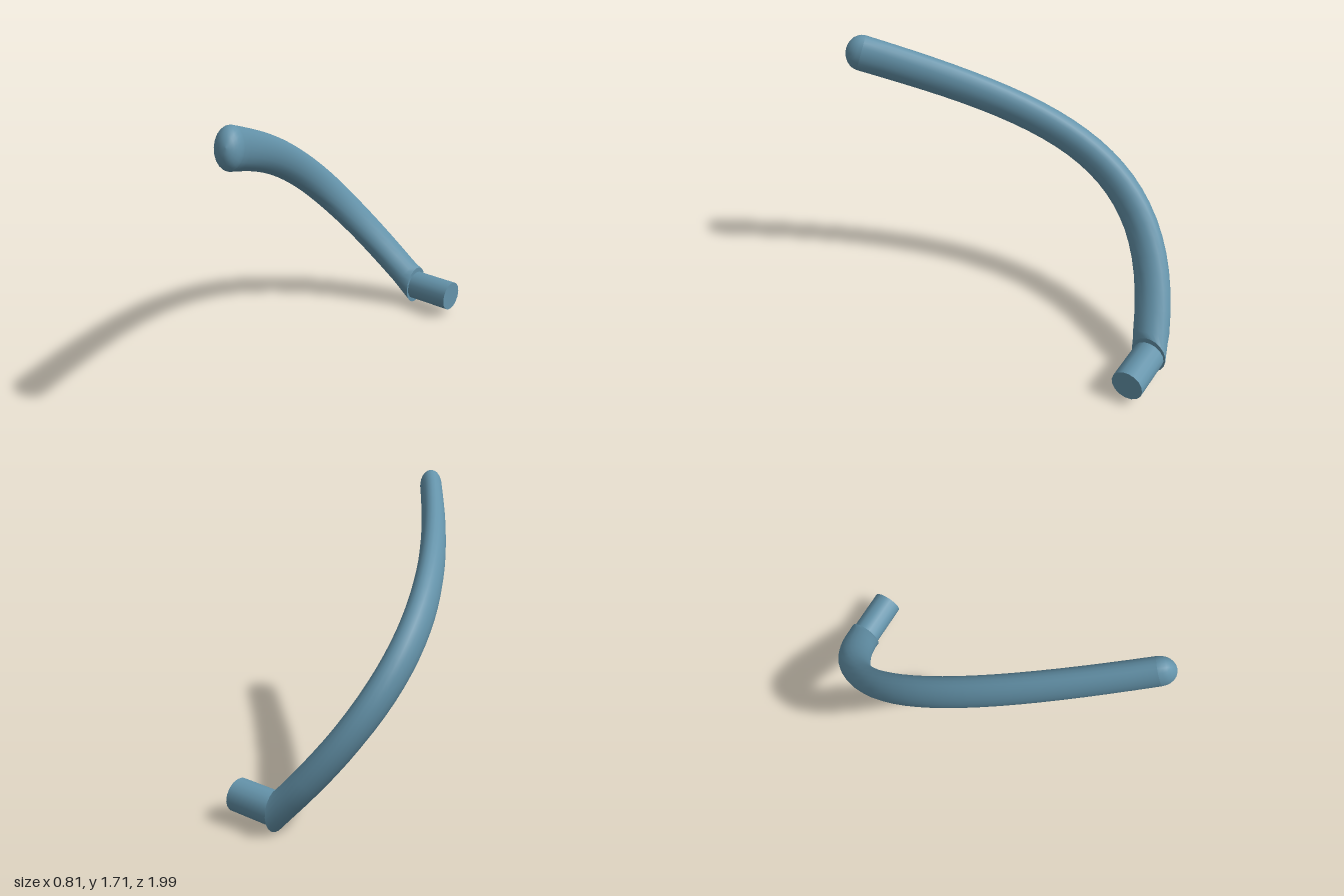
import * as THREE from 'three';

const SIDES = 20, STEPS = 26, DOME_STEPS = 6;
const MAJOR = 0.105; // half height of the oval section

export function createModel() {
  const group = new THREE.Group();
  group.name = 'curvedBar';
  const blueGrey = new THREE.MeshStandardMaterial({ color: 0x6493aa });
  blueGrey.name = 'blueGrey';

  const add = (name, geometry) => {
    const mesh = new THREE.Mesh(geometry, blueGrey);
    mesh.name = name;
    group.add(mesh);
  };
  const v = (x, y, z) => new THREE.Vector3(x, y, z);

  const base = v(0.12, 0.133, -0.892), tip = v(0.264, 1.615, 0.915);
  const curve = new THREE.CubicBezierCurve3(base, v(-0.64, 0.969, -0.63), v(-0.32, 1.235, 0.03), tip);

  // One oval section: the long axis turns from -z at the base to +y at the tip
  const section = (centre, tangent, t, minor, scale = 1) => {
    const long = v(0, t, t - 1);
    long.addScaledVector(tangent, -long.dot(tangent)).normalize();
    const short = long.clone().cross(tangent);
    return Array.from({ length: SIDES }, (_, j) => {
      const a = (j / SIDES) * Math.PI * 2;
      return centre.clone()
        .addScaledVector(short, Math.cos(a) * minor * scale)
        .addScaledVector(long, Math.sin(a) * MAJOR * scale);
    });
  };

  // Smooth skin over a list of sections
  const skin = (rings) => {
    const index = [];
    for (let i = 0; i < rings.length - 1; i++) {
      for (let j = 0; j < SIDES; j++) {
        const a = i * SIDES + j, b = i * SIDES + (j + 1) % SIDES;
        index.push(a, b, a + SIDES, b, b + SIDES, a + SIDES);
      }
    }
    const geometry = new THREE.BufferGeometry().setFromPoints(rings.flat());
    geometry.setIndex(index);
    geometry.computeVertexNormals();
    return geometry;
  };

  // Sweeping bar, cut square at the base and slimmer towards the tip
  const rings = [section(base, v(-1, 0, 0), 0, 0.124)];
  for (let i = 1; i <= STEPS; i++) {
    const t = i / STEPS;
    rings.push(section(curve.getPoint(t), curve.getTangent(t), t, THREE.MathUtils.lerp(0.084, 0.07, t)));
  }
  add('bar', skin(rings));

  // Rounded tip
  const end = curve.getTangent(1), dome = [];
  for (let k = 0; k <= DOME_STEPS; k++) {
    const a = (k / DOME_STEPS) * Math.PI / 2;
    const centre = tip.clone().addScaledVector(end, 0.085 * Math.sin(a));
    dome.push(section(centre, end, 1, 0.07, Math.max(Math.cos(a), 0.01)));
  }
  add('roundedTip', skin(dome));

  // Flat end face around the stub
  const endFace = new THREE.CircleGeometry(1, SIDES);
  endFace.scale(MAJOR, 0.124, 1);
  endFace.rotateY(Math.PI / 2);
  endFace.translate(base.x, base.y, base.z);
  add('endFace', endFace);

  // Short mounting stub, tilted slightly upward
  const stub = new THREE.CylinderGeometry(0.093, 0.093, 0.28, 16);
  stub.rotateZ(-Math.PI / 2 + 0.04);
  stub.translate(0.257, 0.137, -0.893);
  add('stub', stub);

  return group;
}
